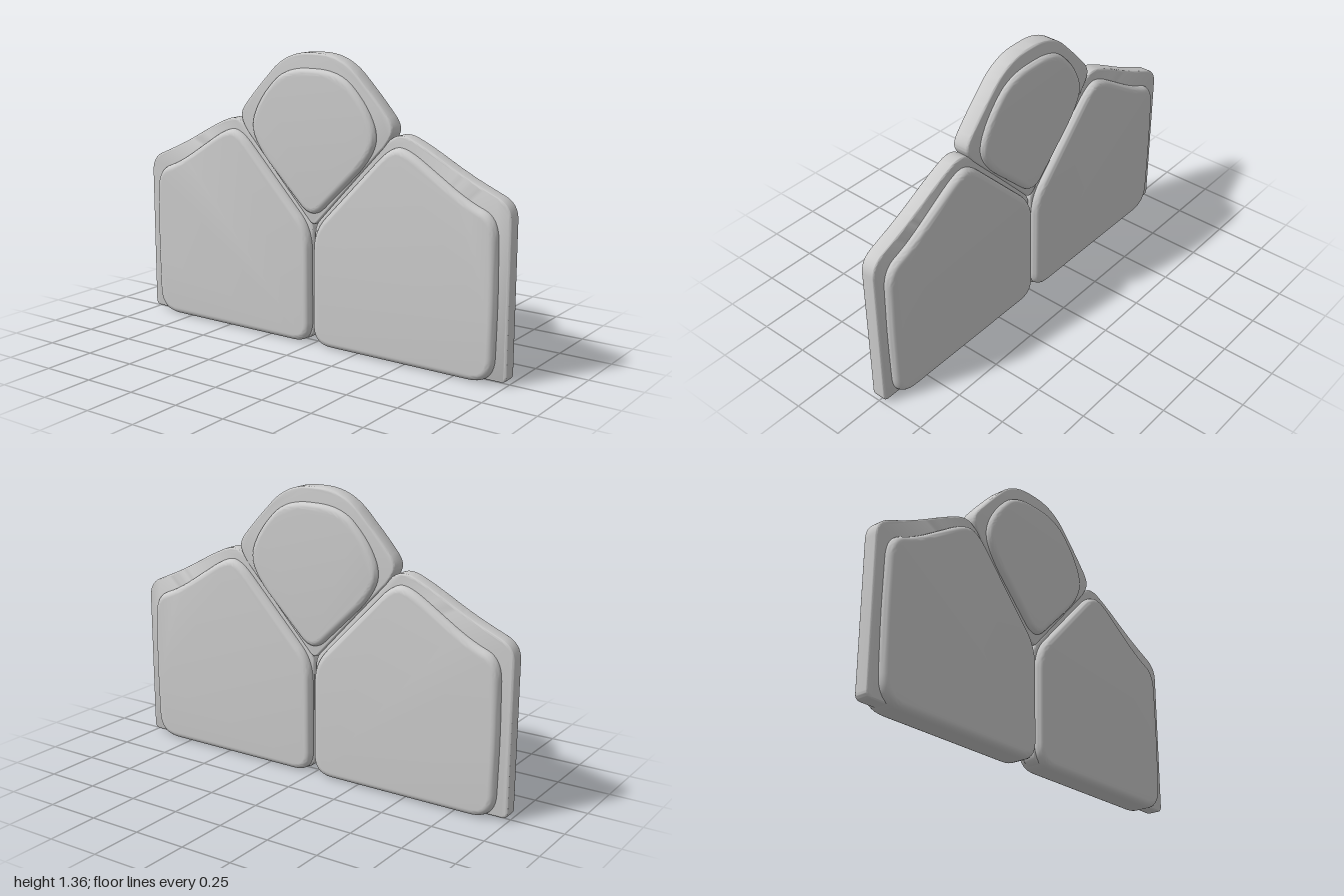
import * as THREE from 'three';
import { toCreasedNormals } from 'three/addons/utils/BufferGeometryUtils.js';

const material = new THREE.MeshStandardMaterial({ color: 0xcccccc });

// Closed outline from [z, y, cornerRadius] points, each corner rounded by a curve
function roundedShape(points) {
  const shape = new THREE.Shape();
  const n = points.length;
  points.forEach(([x, y, r], i) => {
    const corner = new THREE.Vector2(x, y);
    const toward = ([px, py]) => {
      const d = new THREE.Vector2(px, py).sub(corner);
      return d.setLength(Math.min(r, d.length() * 0.48)).add(corner);
    };
    const a = toward(points[(i + n - 1) % n]);
    const b = toward(points[(i + 1) % n]);
    if (i === 0) shape.moveTo(a.x, a.y);
    else shape.lineTo(a.x, a.y);
    shape.quadraticCurveTo(x, y, b.x, b.y);
  });
  shape.closePath();
  return shape;
}

// Slab in the z-y plane, centred on x = 0, with rounded rims on both faces
function slab(name, points, halfThickness, bevel, bevelDepth) {
  const depth = 2 * (halfThickness - bevelDepth);
  const geometry = new THREE.ExtrudeGeometry(roundedShape(points), {
    depth,
    curveSegments: 10,
    bevelEnabled: true,
    bevelSize: bevel,
    bevelOffset: -bevel,
    bevelThickness: bevelDepth,
    bevelSegments: 6,
  });
  geometry.translate(0, 0, -depth / 2);
  geometry.rotateY(-Math.PI / 2);
  const mesh = new THREE.Mesh(toCreasedNormals(geometry, 0.7), material);
  mesh.name = name;
  return mesh;
}

const mirrored = (points) => points.map(([z, y, r]) => [-z, y, r]).reverse();

export function createModel() {
  const group = new THREE.Group();
  group.name = 'threePanelBoard';

  // Lower panels: thin backing board with a thick padded cushion through it
  const sideBoard = [
    [0.005, 0.015, 0.06], [1, 0.015, 0.03], [1, 0.785, 0.07], [0.78, 0.88, 0.1],
    [0.58, 0.99, 0.1], [0.46, 1.04, 0.08], [0.38, 0.99, 0.05], [0.005, 0.57, 0.04],
  ];
  const sideCushion = [
    [0.008, 0.002, 0.1], [0.945, 0.002, 0.12], [0.952, 0.38, 0.1], [0.945, 0.73, 0.1],
    [0.8, 0.785, 0.1], [0.49, 0.985, 0.11], [0.405, 0.965, 0.08], [0.01, 0.55, 0.09],
  ];
  for (const [side, flip] of [['front', (p) => p], ['back', mirrored]]) {
    group.add(slab(side + 'Board', flip(sideBoard), 0.036, 0.01, 0.01));
    group.add(slab(side + 'Cushion', flip(sideCushion), 0.07, 0.03, 0.035));
  }

  // Upper diamond panel
  const topBoard = [
    [0, 0.56, 0.04], [0.4, 0.99, 0.05], [0.43, 1.06, 0.06], [0.34, 1.165, 0.08],
    [0.15, 1.36, 0.13], [-0.15, 1.36, 0.13], [-0.34, 1.165, 0.08],
    [-0.43, 1.06, 0.06], [-0.4, 0.99, 0.05],
  ];
  const topCushion = [
    [0, 0.595, 0.09], [0.3, 0.89, 0.1], [0.355, 1.01, 0.11], [0.29, 1.15, 0.09],
    [0.15, 1.29, 0.13], [-0.15, 1.29, 0.13], [-0.29, 1.15, 0.09],
    [-0.355, 1.01, 0.11], [-0.3, 0.89, 0.1],
  ];
  group.add(slab('topBoard', topBoard, 0.041, 0.012, 0.01));
  group.add(slab('topCushion', topCushion, 0.066, 0.028, 0.026));

  return group;
}
